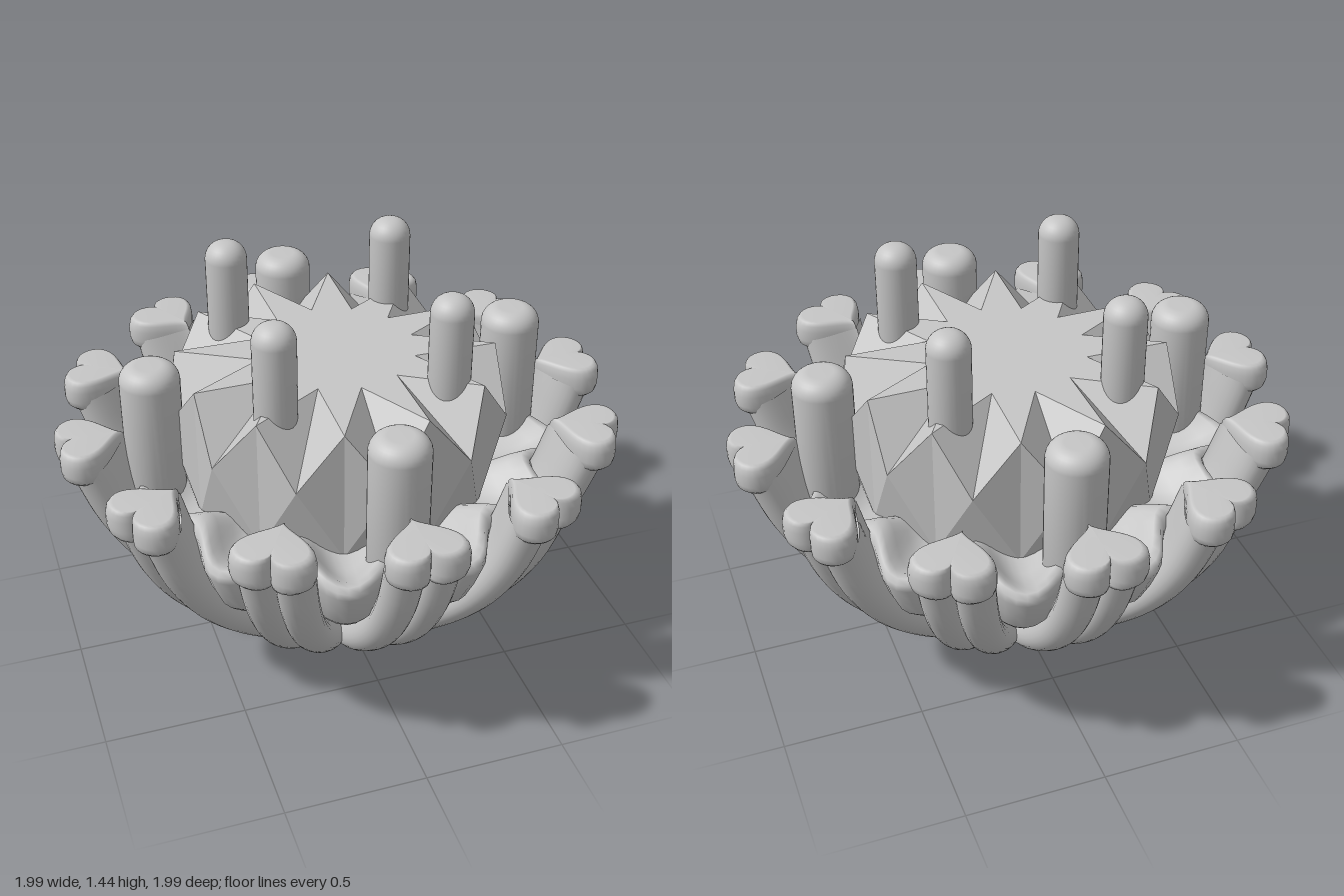
import * as THREE from 'three';

const grey = new THREE.MeshStandardMaterial({ color: 0xc6c6c6 });
grey.name = 'plainGrey';

// Skin between closed cross-sections that all have the same point count
function loft(rings) {
  const n = rings[0].length, pos = [], index = [];
  rings.forEach(ring => ring.forEach(p => pos.push(p.x, p.y, p.z)));
  for (let i = 0; i < rings.length - 1; i++) {
    for (let j = 0; j < n; j++) {
      const a = i * n + j, b = i * n + (j + 1) % n;
      index.push(a, b, a + n, b, b + n, a + n);
    }
  }
  const g = new THREE.BufferGeometry();
  g.setAttribute('position', new THREE.Float32BufferAttribute(pos, 3));
  g.setIndex(index);
  g.computeVertexNormals();
  return g;
}

// Heart outline: x is sideways, y points outward to the lobes
const HEART = Array.from({ length: 48 }, (_, i) => {
  const t = (i / 48) * Math.PI * 2;
  return new THREE.Vector2(
    0.14 * Math.sin(t) ** 3,
    0.14 / 16 * (13 * Math.cos(t) - 4 * Math.cos(2 * t) - 2 * Math.cos(3 * t) - 0.7 * Math.cos(4 * t)));
});

// Heart-section rib curving from the bottom centre up to the rim
function ribGeometry() {
  const path = new THREE.CatmullRomCurve3([
    [0.02, 0.095], [0.12, 0.083], [0.21, 0.095], [0.36, 0.165], [0.53, 0.3],
    [0.69, 0.475], [0.80, 0.66], [0.875, 0.87],
  ].map(([r, y]) => new THREE.Vector3(0, y, r)));
  const rings = [], N = 28;
  for (let i = 0; i <= N; i++) {
    const c = path.getPointAt(i / N), t = path.getTangentAt(i / N);
    const s = 0.78 + 0.14 * (i / N);
    const section = k => HEART.map(h =>
      new THREE.Vector3(h.x * k, c.y - t.z * h.y * k, c.z + t.y * h.y * k));
    if (i === 0) rings.push(section(0));
    rings.push(section(s));
  }
  return loft(rings);
}

// Rounded heart knob on top of each rib
function knobGeometry() {
  return loft([
    [0.82, 0], [0.82, 0.84], [0.835, 0.95], [0.86, 1], [0.9, 1],
    [0.925, 0.96], [0.937, 0.89], [0.94, 0.8], [0.94, 0],
  ].map(([y, s]) => HEART.map(h => new THREE.Vector3(h.x * s, y, 0.895 + h.y * s))));
}

// Twelve-lobed dish: [radius share, height, waviness of height]
function dishGeometry() {
  const profile = [
    [0, 0.47, 0], [0.8, 0.47, 0], [0.86, 0.48, 0], [0.91, 0.52, 0], [0.96, 0.6, 0],
    [1, 0.68, 0], [1, 0.715, -0.01], [0.98, 0.74, -0.02], [0.94, 0.745, -0.03],
    [0.87, 0.72, -0.035], [0.78, 0.69, -0.03], [0.66, 0.67, -0.015], [0, 0.66, 0],
  ];
  const n = 144;
  return loft(profile.map(([s, y, w]) => Array.from({ length: n }, (_, j) => {
    const a = (j / n) * Math.PI * 2, lobe = -Math.cos(12 * a);
    const r = s * (0.775 + 0.06 * lobe);
    return new THREE.Vector3(r * Math.sin(a), y + w * lobe, r * Math.cos(a));
  })));
}

// Faceted crown with a flat star on top
function crownGeometry() {
  const pos = [];
  const at = (deg, r, y) => {
    const a = THREE.MathUtils.degToRad(deg);
    return [r * Math.sin(a), y, r * Math.cos(a)];
  };
  const tri = (...pts) => pts.forEach(p => pos.push(...p));
  const centre = [0, 1.13, 0];
  for (let d = 0; d < 360; d += 30) {
    const in0 = at(d, 0.28, 1.13), in1 = at(d + 30, 0.28, 1.13);
    const mid0 = at(d, 0.61, 0.93), mid1 = at(d + 30, 0.61, 0.93);
    const tip = at(d + 15, 0.56, 1.13);
    const low0 = at(d + 15, 0.56, 0.64), low1 = at(d + 45, 0.56, 0.64);
    tri(centre, in0, tip);
    tri(centre, tip, in1);
    tri(in0, mid0, tip);
    tri(tip, mid1, in1);
    tri(tip, mid0, low0);
    tri(tip, low0, mid1);
    tri(mid1, low0, low1);
  }
  const g = new THREE.BufferGeometry();
  g.setAttribute('position', new THREE.Float32BufferAttribute(pos, 3));
  g.computeVertexNormals();
  return g;
}

// Round peg with a filleted top
function pegGeometry(radius, bottom, top, fillet) {
  const pts = [new THREE.Vector2(0, bottom), new THREE.Vector2(radius, bottom)];
  for (let i = 0; i <= 8; i++) {
    const a = (i / 8) * Math.PI / 2;
    pts.push(new THREE.Vector2(
      radius - fillet + fillet * Math.cos(a), top - fillet + fillet * Math.sin(a)));
  }
  pts.push(new THREE.Vector2(0, top));
  return new THREE.LatheGeometry(pts, 32);
}

export function createModel() {
  const model = new THREE.Group();
  model.name = 'flowerBowl';
  const add = (name, geometry, x = 0, z = 0, turn = 0) => {
    const m = new THREE.Mesh(geometry, grey);
    m.name = name;
    m.position.set(x, 0, z);
    m.rotation.y = turn;
    model.add(m);
  };

  add('lobedDish', dishGeometry());
  add('crown', crownGeometry());

  // Twelve ribs with heart knobs
  const rib = ribGeometry(), knob = knobGeometry();
  for (let i = 0; i < 12; i++) {
    add('rib', rib, 0, 0, i * Math.PI / 6);
    add('heartKnob', knob, 0, 0, i * Math.PI / 6);
  }

  // Four thick pegs on the dish, four slim pegs on the crown
  const thick = pegGeometry(0.104, 0.6, 1.18, 0.06);
  const slim = pegGeometry(0.074, 0.85, 1.44, 0.065);
  for (let i = 0; i < 4; i++) {
    const a = i * Math.PI / 2, b = a + Math.PI / 4;
    add('outerPeg', thick, 0.66 * Math.sin(a), 0.66 * Math.cos(a));
    add('innerPeg', slim, 0.431 * Math.sin(b), 0.431 * Math.cos(b));
  }
  return model;
}
